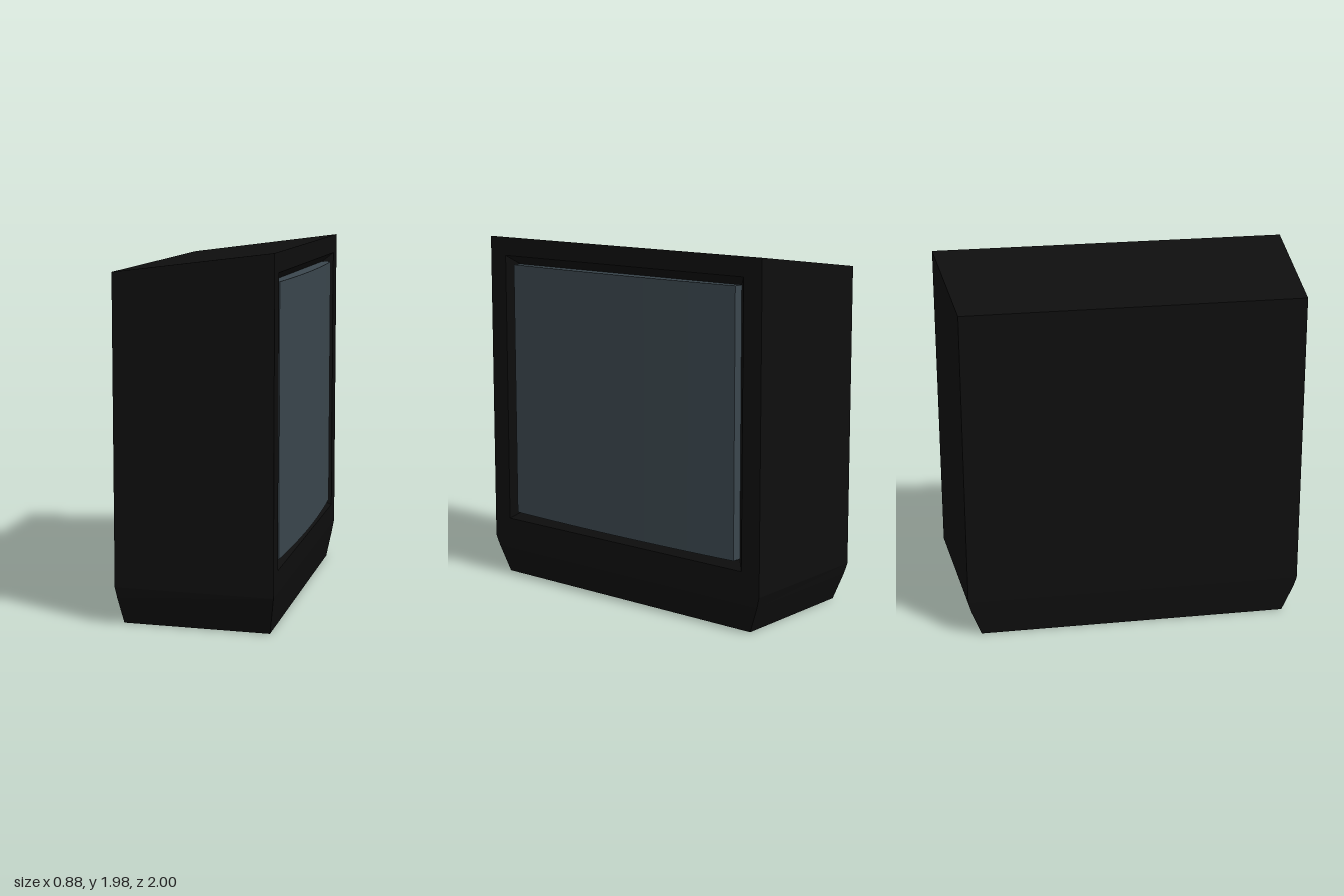
import * as THREE from 'three';

// Flat-shaded geometry from four-cornered faces (counter-clockwise from outside)
function fromQuads(quads) {
  const pos = [];
  for (const [a, b, c, d] of quads) pos.push(...a, ...b, ...c, ...a, ...c, ...d);
  const geo = new THREE.BufferGeometry();
  geo.setAttribute('position', new THREE.Float32BufferAttribute(pos, 3));
  geo.computeVertexNormals();
  return geo;
}

// Faces joining two four-cornered loops; skip leaves one side open
function bridge(a, b, skip = -1) {
  const quads = [];
  for (let i = 0; i < 4; i++) {
    const j = (i + 1) % 4;
    if (i !== skip) quads.push([a[i], a[j], b[j], b[i]]);
  }
  return quads;
}

// Horizontal section of the case: front (+x) and back edges
const section = (xf, zf, yf, xb, zb, yb) =>
  [[xf, yf, zf], [xf, yf, -zf], [xb, yb, -zb], [xb, yb, zb]];

// Upright rectangle facing +x
const rect = (x, z, lo, hi) => [[x, lo, z], [x, lo, -z], [x, hi, -z], [x, hi, z]];

export function createModel() {
  const model = new THREE.Group();
  const caseBlack = new THREE.MeshStandardMaterial({ color: 0x0e0e0e });
  caseBlack.name = 'case black';
  const screenGrey = new THREE.MeshStandardMaterial({ color: 0x3a464d });
  screenGrey.name = 'screen grey';

  const add = (name, geo, mat) => {
    const mesh = new THREE.Mesh(geo, mat);
    mesh.name = name;
    model.add(mesh);
    return mesh;
  };

  // Case: tapered base below a body that narrows towards the back
  const foot = section(0.39, 0.915, 0, -0.41, 0.86, 0);
  const knee = section(0.415, 0.98, 0.15, -0.432, 0.918, 0.15);
  const waist = section(0.424, 1, 0.21, -0.44, 0.935, 0.21);
  const top = section(0.424, 1, 1.98, -0.44, 0.935, 1.87);
  add('case', fromQuads([
    [...foot].reverse(), ...bridge(foot, knee), ...bridge(knee, waist),
    ...bridge(waist, top, 0), top,
  ]), caseBlack);

  // Bezel: flat frame, sloped lip and recess floor
  const outer = rect(0.424, 1, 0.21, 1.98);
  const lip = rect(0.424, 0.88, 0.33, 1.875);
  const floor = rect(0.365, 0.82, 0.375, 1.825);
  add('bezel', fromQuads([...bridge(outer, lip), ...bridge(lip, floor), floor]), caseBlack);

  // Screen: slab bulging gently across its width
  const half = 0.82, steps = 16;
  const shape = new THREE.Shape();
  shape.moveTo(0.355, -half);
  for (let i = 0; i <= steps; i++) {
    const t = (i / steps) * 2 - 1;
    shape.lineTo(0.44 - 0.023 * t * t, t * half);
  }
  shape.lineTo(0.355, half);
  const glass = new THREE.ExtrudeGeometry(shape, { depth: 1.45, bevelEnabled: false });
  glass.rotateX(-Math.PI / 2);
  add('screen', glass, screenGrey).position.y = 0.375;

  return model;
}
